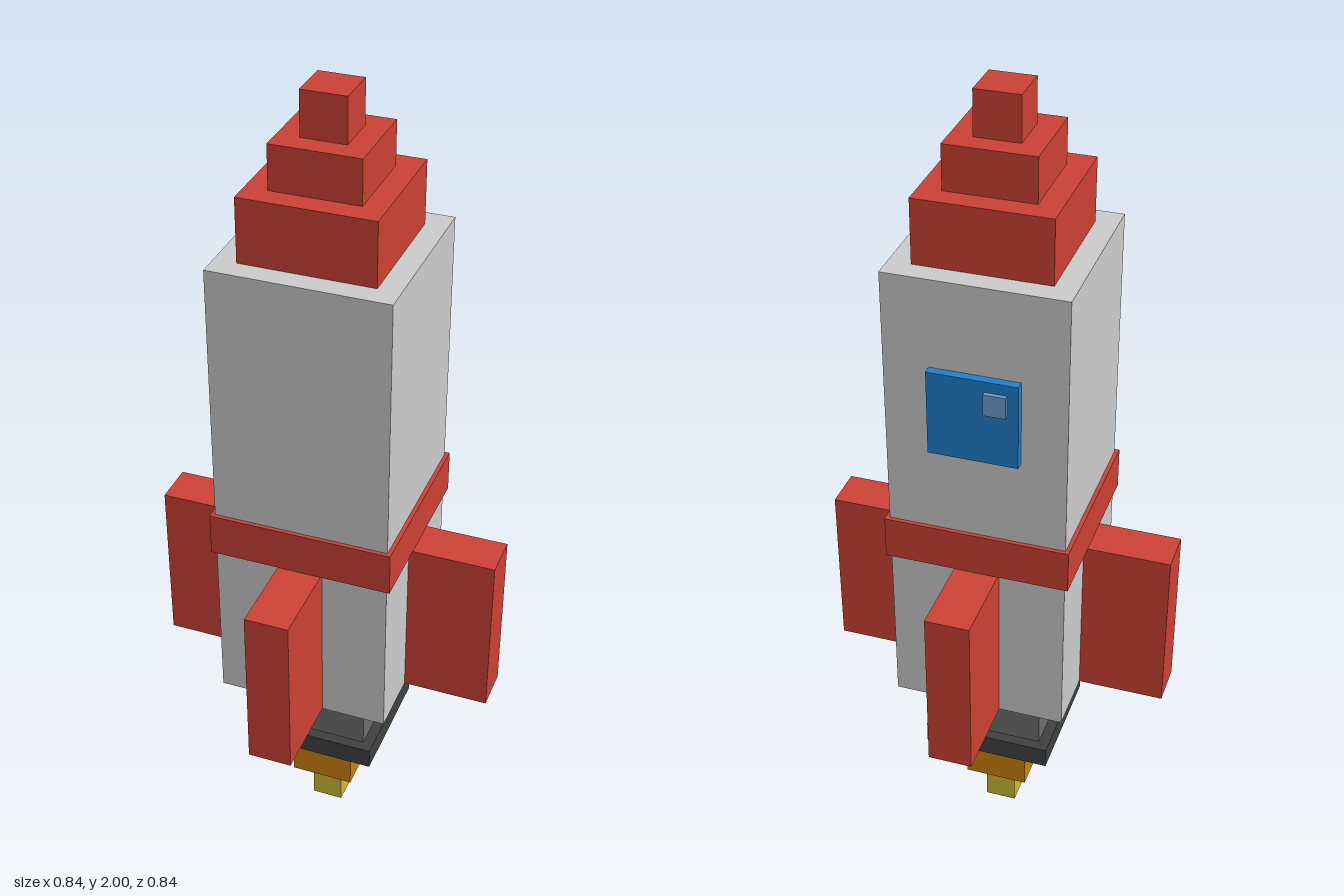
import * as THREE from 'three';

const paint = (name, color) => {
  const m = new THREE.MeshStandardMaterial({ color });
  m.name = name;
  return m;
};

export function createModel() {
  const rocket = new THREE.Group();
  rocket.name = 'rocket';

  const red = paint('red', 0xcb4135);
  const grey = paint('lightGrey', 0xcbcbcb);
  const steel = paint('steelGrey', 0x6e6e6e);
  const dark = paint('darkGrey', 0x404040);
  const orange = paint('orange', 0xcb800f);
  const yellow = paint('yellow', 0xcbba36);
  const blue = paint('blue', 0x2080cc);
  const paleBlue = paint('paleBlue', 0x6b9fca);

  // Box given by its lower and upper corners
  const box = (name, material, [x0, y0, z0], [x1, y1, z1], parent = rocket) => {
    const mesh = new THREE.Mesh(new THREE.BoxGeometry(x1 - x0, y1 - y0, z1 - z0), material);
    mesh.position.set((x0 + x1) / 2, (y0 + y1) / 2, (z0 + z1) / 2);
    mesh.name = name;
    parent.add(mesh);
  };

  // Square blocks stacked on the axis: name, material, half width, bottom, top
  const blocks = [
    ['innerFlame', yellow, 0.039, 0, 0.11],
    ['outerFlame', orange, 0.079, 0.11, 0.268],
    ['nozzleRim', dark, 0.158, 0.268, 0.321],
    ['nozzle', steel, 0.132, 0.321, 0.479],
    ['body', grey, 0.211, 0.479, 1.637],
    ['collar', red, 0.221, 0.895, 1],
    ['noseBase', red, 0.158, 1.637, 1.79],
    ['noseMiddle', red, 0.105, 1.79, 1.895],
    ['noseTip', red, 0.053, 1.895, 2],
  ];
  for (const [name, material, h, y0, y1] of blocks) {
    box(name, material, [-h, y0, -h], [h, y1, h]);
  }

  // Four fins, one on each side of the body
  ['front', 'left', 'back', 'right'].forEach((side, i) => {
    const fin = new THREE.Group();
    fin.name = side + 'Fin';
    box('finPlate', red, [-0.053, 0.479, 0.21], [0.053, 0.895, 0.421], fin);
    fin.rotation.y = (i * Math.PI) / 2;
    rocket.add(fin);
  });

  // Window with a small highlight block on the back
  box('window', blue, [-0.105, 1.216, -0.232], [0.105, 1.424, -0.21]);
  box('windowHighlight', paleBlue, [-0.079, 1.345, -0.242], [-0.028, 1.398, -0.231]);

  return rocket;
}
